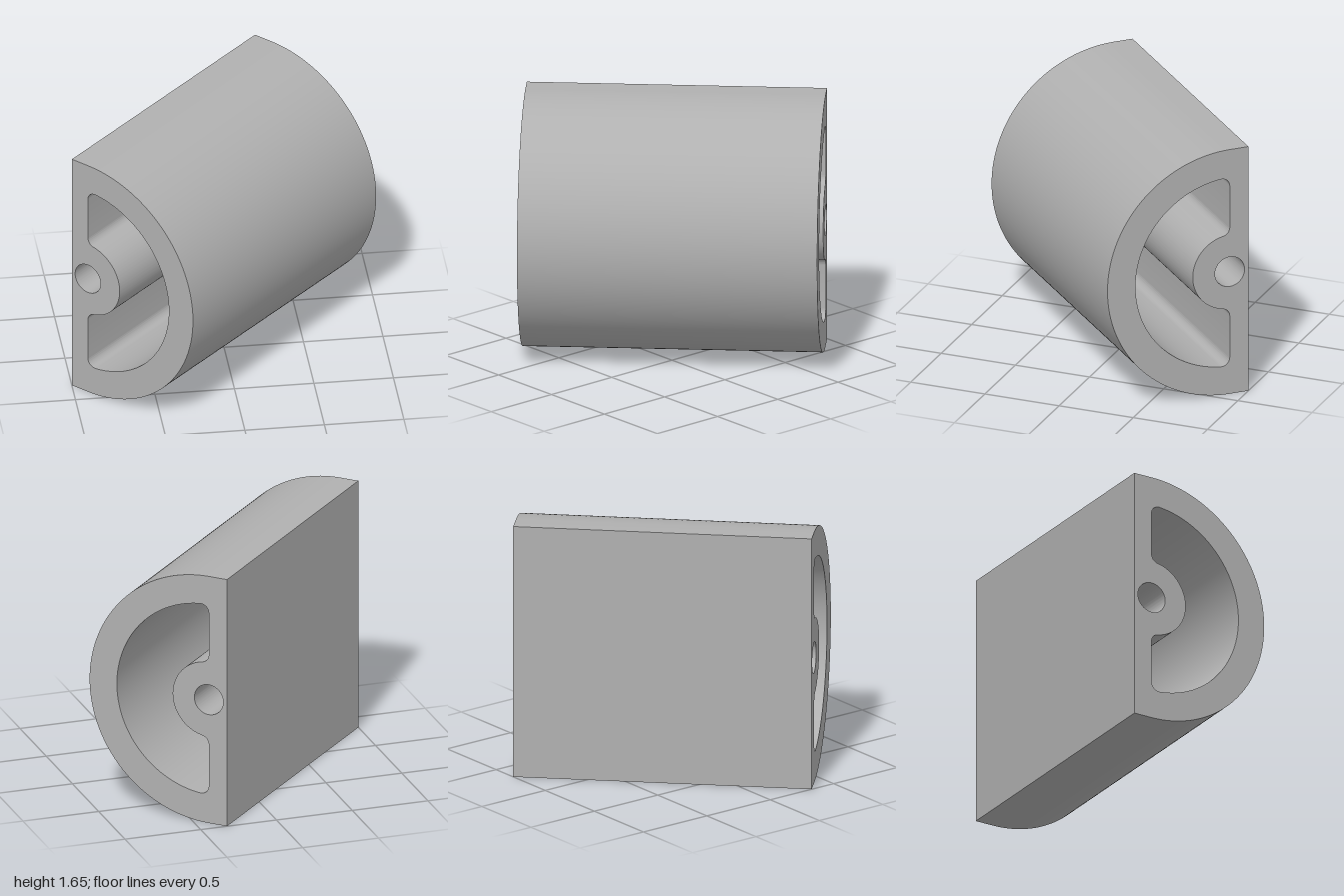
import * as THREE from 'three';
import { toCreasedNormals } from 'three/addons/utils/BufferGeometryUtils.js';

const R = 0.826;        // outer radius
const WALL = 0.126;     // thickness of the flat back wall
const LENGTH = 1.876;
const INNER = 0.637;    // pocket radius
const BOSS = 0.25;      // boss radius
const BORE = 0.1;       // bore radius
const FILLET = 0.055;

// D-shaped outline with its arc centred on the origin
function outline() {
  const s = new THREE.Shape();
  s.moveTo(-WALL, -R);
  s.lineTo(0, -R);
  s.absarc(0, 0, R, -Math.PI / 2, Math.PI / 2, false);
  s.lineTo(-WALL, R);
  s.closePath();
  return s;
}

// Half-round pocket that wraps around the boss, with filleted corners
function pocket() {
  const h = Math.sqrt((INNER - FILLET) ** 2 - FILLET ** 2);
  const b = Math.sqrt((BOSS + FILLET) ** 2 - FILLET ** 2);
  const phi = Math.atan2(h, FILLET);
  const psi = Math.atan2(b, FILLET);
  const p = new THREE.Path();
  p.absarc(0, 0, INNER, -phi, phi, false);
  p.absarc(FILLET, h, FILLET, phi, Math.PI, false);
  p.absarc(FILLET, b, FILLET, Math.PI, Math.PI + psi, false);
  p.absarc(0, 0, BOSS, psi, -psi, true);
  p.absarc(FILLET, -b, FILLET, Math.PI - psi, Math.PI, false);
  p.absarc(FILLET, -h, FILLET, Math.PI, 2 * Math.PI - phi, false);
  p.closePath();
  return p;
}

export function createModel() {
  const grey = new THREE.MeshStandardMaterial({ color: 0xb0b0b0 });
  grey.name = 'grey';

  const profile = outline();
  const bore = new THREE.Path();
  bore.absarc(0, 0, BORE, 0, Math.PI * 2, true);
  profile.holes.push(pocket(), bore);

  // Extrude through the full length, centre it, then turn it diagonally
  const extruded = new THREE.ExtrudeGeometry(profile, {
    depth: LENGTH, bevelEnabled: false, curveSegments: 48,
  });
  extruded.translate((WALL - R) / 2, R, -LENGTH / 2);
  const body = new THREE.Mesh(toCreasedNormals(extruded, 0.5), grey);
  body.name = 'hollowHalfRoundBody';
  body.rotation.y = -Math.PI / 4;

  const group = new THREE.Group();
  group.name = 'halfRoundSpacer';
  group.add(body);
  return group;
}
